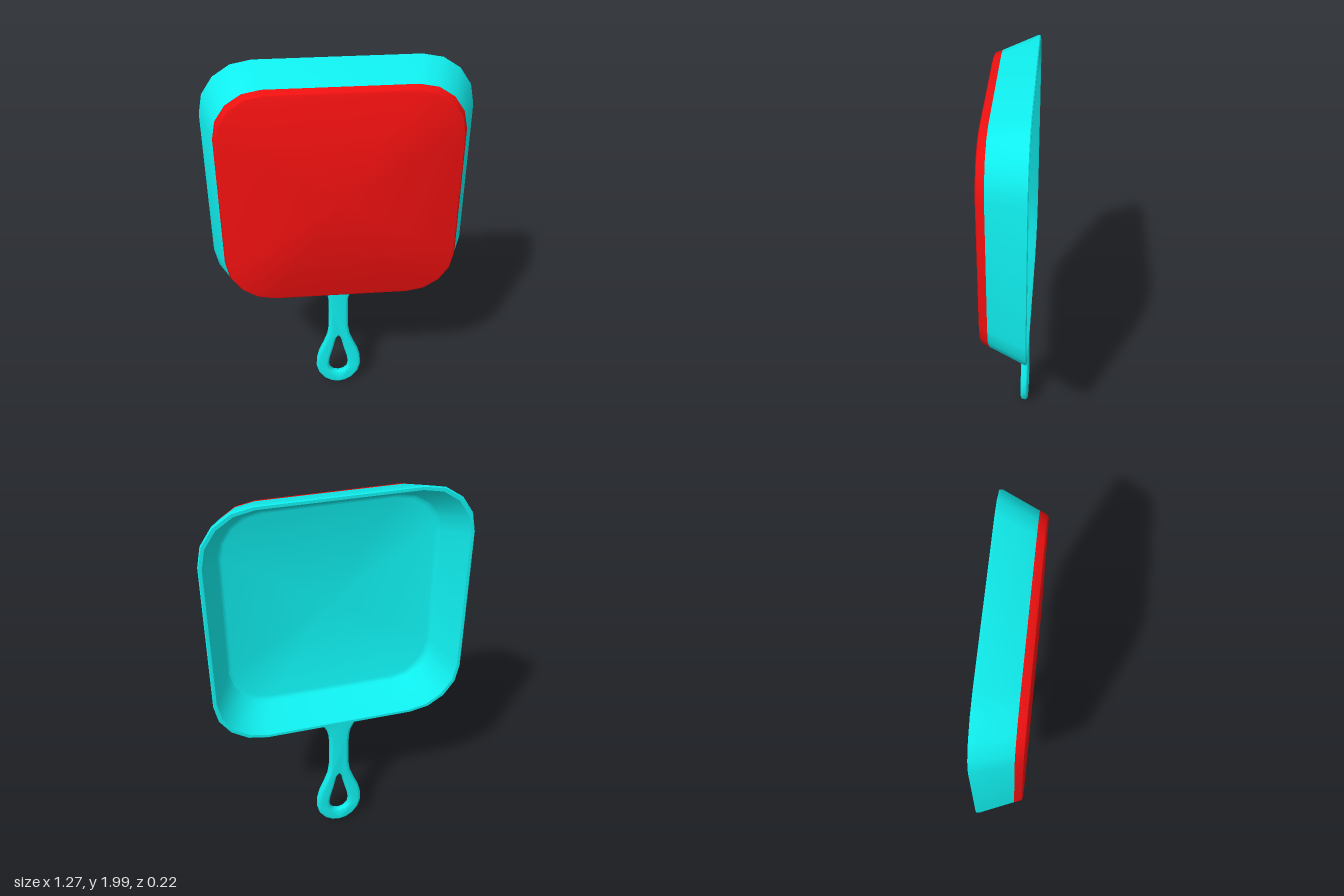
import * as THREE from 'three';
import { toCreasedNormals } from 'three/addons/utils/BufferGeometryUtils.js';

const CENTER_Y = 1.364;
const CORNER_STEPS = 4;

// Rounded square outline, counter-clockwise seen from +z
function roundedSquare(half, z) {
  const radius = half * 0.4, inner = half - radius, points = [];
  for (let corner = 0; corner < 4; corner++) {
    const start = corner * Math.PI / 2;
    const cx = corner === 0 || corner === 3 ? inner : -inner;
    const cy = corner < 2 ? inner : -inner;
    for (let s = 0; s <= CORNER_STEPS; s++) {
      const a = start + (s / CORNER_STEPS) * Math.PI / 2;
      points.push([cx + radius * Math.cos(a), cy + radius * Math.sin(a), z]);
    }
  }
  return points;
}

// Skin through rounded squares given as [half width, z]; half width 0 closes to a point
function loft(sections) {
  const rings = sections.map(([half, z]) => roundedSquare(half, z));
  const positions = [];
  for (let k = 0; k < rings.length - 1; k++) {
    const n = rings[k].length;
    for (let i = 0; i < n; i++) {
      const j = (i + 1) % n;
      const a = rings[k][i], b = rings[k][j], c = rings[k + 1][i], d = rings[k + 1][j];
      if (sections[k][0] > 0) positions.push(...a, ...c, ...b);
      if (sections[k + 1][0] > 0) positions.push(...b, ...c, ...d);
      else if (sections[k][0] === 0) continue;
    }
  }
  const geometry = new THREE.BufferGeometry();
  geometry.setAttribute('position', new THREE.Float32BufferAttribute(positions, 3));
  return toCreasedNormals(geometry, 0.6);
}

// Symmetric closed outline from [half width, y] points of its right side
function mirroredPoints(side) {
  const right = side.map(([x, y]) => new THREE.Vector2(x, y));
  const left = side.filter(([x]) => x > 0).reverse().map(([x, y]) => new THREE.Vector2(-x, y));
  return [...right, ...left];
}

export function createModel() {
  const model = new THREE.Group();
  const teal = new THREE.MeshStandardMaterial({ color: 0x10eeee });
  const red = new THREE.MeshStandardMaterial({ color: 0xee1010 });

  function add(name, geometry, material, y = 0, z = 0) {
    const mesh = new THREE.Mesh(geometry, material);
    mesh.name = name;
    mesh.position.set(0, y, z);
    model.add(mesh);
  }

  // Red underside with a softened edge
  add('panBase', loft([
    [0, 0.11], [0.55, 0.11], [0.56, 0.105], [0.565, 0.095], [0.573, 0.07],
  ]), red, CENTER_Y);

  // Flared wall, rounded rim, inner wall and cooking floor
  add('panBody', loft([
    [0.573, 0.07], [0.635, -0.098], [0.636, -0.106], [0.632, -0.11],
    [0.618, -0.11], [0.613, -0.105], [0.536, 0.05], [0.527, 0.062],
    [0.51, 0.068], [0, 0.07],
  ]), teal, CENTER_Y);

  // Flat handle with a teardrop hanging loop
  const outline = mirroredPoints([
    [0, 0.008], [0.04, 0.016], [0.08, 0.042], [0.112, 0.088], [0.125, 0.14],
    [0.122, 0.2], [0.108, 0.255], [0.083, 0.315], [0.062, 0.375], [0.053, 0.44],
    [0.052, 0.54], [0.054, 0.63], [0.064, 0.675], [0.082, 0.71], [0.11, 0.735], [0.115, 0.75],
  ]);
  const hole = mirroredPoints([
    [0, 0.088], [0.028, 0.096], [0.048, 0.12], [0.054, 0.155], [0.048, 0.2],
    [0.035, 0.25], [0.022, 0.305], [0.013, 0.345], [0, 0.362],
  ]);
  const shape = new THREE.Shape(outline);
  shape.holes.push(new THREE.Path(hole));
  const bevel = 0.017;
  const handle = new THREE.ExtrudeGeometry(shape, {
    depth: 0.006, bevelEnabled: true, bevelThickness: bevel,
    bevelSize: bevel, bevelOffset: -bevel, bevelSegments: 4,
  });
  add('handle', toCreasedNormals(handle, 0.9), teal, 0, -0.082);

  return model;
}
